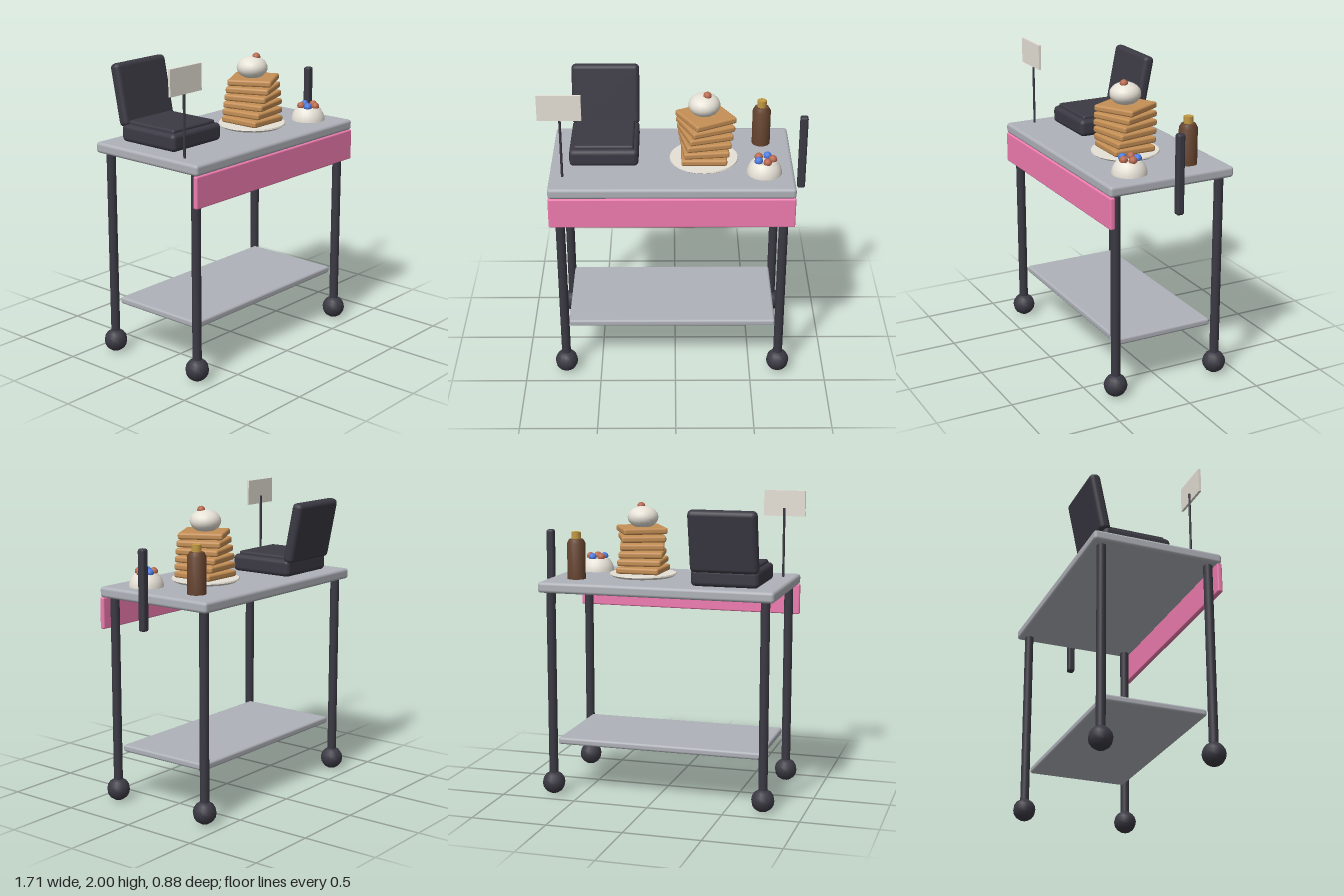
import * as THREE from 'three';
import { RoundedBoxGeometry } from 'three/addons/geometries/RoundedBoxGeometry.js';
import { toCreasedNormals } from 'three/addons/utils/BufferGeometryUtils.js';

const paint = (color) => new THREE.MeshStandardMaterial({ color });
const steel = paint(0xaeb1b8), dark = paint(0x3b3943), pink = paint(0xf07cb0);
const cream = paint(0xe6e1d6), waffleTan = paint(0xc58f55), red = paint(0xb8694e);
const blue = paint(0x4a7ae0), brown = paint(0x65432f), gold = paint(0xc39a45);

export function createModel() {
  const cart = new THREE.Group();
  cart.name = 'waffleCart';

  const add = (name, geometry, material, x, y, z) => {
    const mesh = new THREE.Mesh(geometry, material);
    mesh.name = name;
    mesh.position.set(x, y, z);
    cart.add(mesh);
    return mesh;
  };
  const box = (name, material, w, h, d, r, x, y, z) =>
    add(name, new RoundedBoxGeometry(w, h, d, 2, r), material, x, y, z);
  const lathe = (name, material, points, sides, x, y, z) =>
    add(name, toCreasedNormals(new THREE.LatheGeometry(
      points.map(([r, h]) => new THREE.Vector2(r, h)), sides), 0.7), material, x, y, z);

  // Cart frame
  box('tableTop', steel, 1.56, 0.07, 0.87, 0.02, -0.022, 1.395, 0);
  box('lowerShelf', steel, 1.375, 0.046, 0.68, 0.015, -0.022, 0.353, 0);
  box('frontPanel', pink, 1.56, 0.205, 0.034, 0.01, -0.022, 1.258, 0.418);
  box('pushHandle', dark, 0.052, 0.515, 0.05, 0.015, 0.828, 1.467, 0);
  for (const x of [-0.735, 0.69]) {
    for (const z of [-0.365, 0.365]) {
      add('leg', new THREE.CylinderGeometry(0.03, 0.03, 1.28, 12), dark, x, 0.72, z);
      add('wheel', new THREE.SphereGeometry(0.076, 12, 8), dark, x, 0.076, z);
    }
  }

  // Sign on a thin pole
  add('signPole', new THREE.CylinderGeometry(0.008, 0.008, 0.46, 8), dark, -0.717, 1.655, 0.258);
  add('signBoard', new THREE.BoxGeometry(0.275, 0.168, 0.016), cream, -0.718, 1.916, 0.27);

  // Open waffle iron
  box('ironBase', dark, 0.445, 0.115, 0.46, 0.03, -0.458, 1.487, -0.095);
  box('ironPlate', dark, 0.385, 0.04, 0.4, 0.015, -0.458, 1.546, -0.095);
  const lid = box('ironLid', dark, 0.445, 0.405, 0.075, 0.03, -0.458, 1.722, -0.348);
  lid.rotation.x = -0.2;

  // Plate with a twisting stack of waffles
  lathe('plate', cream, [[0, 0], [0.2, 0], [0.223, 0.015], [0.22, 0.024], [0, 0.024]],
    24, 0.185, 1.43, 0.03);
  for (let i = 0; i < 6; i++) {
    const waffle = box('waffle', waffleTan, 0.293, 0.042, 0.293, 0.014,
      0.185 + i * 0.002, 1.478 + i * 0.0525, 0.033);
    waffle.rotation.y = i * 0.1;
  }
  const scoop = add('creamScoop', new THREE.SphereGeometry(0.102, 20, 14), cream, 0.185, 1.823, 0.03);
  scoop.scale.y = 0.72;
  add('cherry', new THREE.SphereGeometry(0.027, 12, 8), red, 0.203, 1.893, 0.05);

  // Syrup bottle
  lathe('syrupBottle', brown, [[0, 0], [0.06, 0], [0.06, 0.235], [0.046, 0.262],
    [0.028, 0.264], [0.028, 0.275], [0, 0.275]], 16, 0.568, 1.43, -0.21);
  add('bottleCap', new THREE.CylinderGeometry(0.031, 0.031, 0.046, 12), gold, 0.568, 1.716, -0.21);

  // Domed bowl topped with berries
  lathe('berryBowl', cream, [[0, 0], [0.113, 0], [0.112, 0.016], [0.104, 0.042],
    [0.09, 0.067], [0.073, 0.085], [0, 0.085]], 20, 0.567, 1.43, 0.205);
  for (let i = 0; i < 5; i++) {
    const a = 0.05 + (i * Math.PI * 2) / 5;
    add('berry', new THREE.SphereGeometry(0.027, 12, 8), i === 2 || i === 4 ? blue : red,
      0.569 + Math.cos(a) * 0.05, 1.525, 0.205 + Math.sin(a) * 0.05);
  }
  return cart;
}
